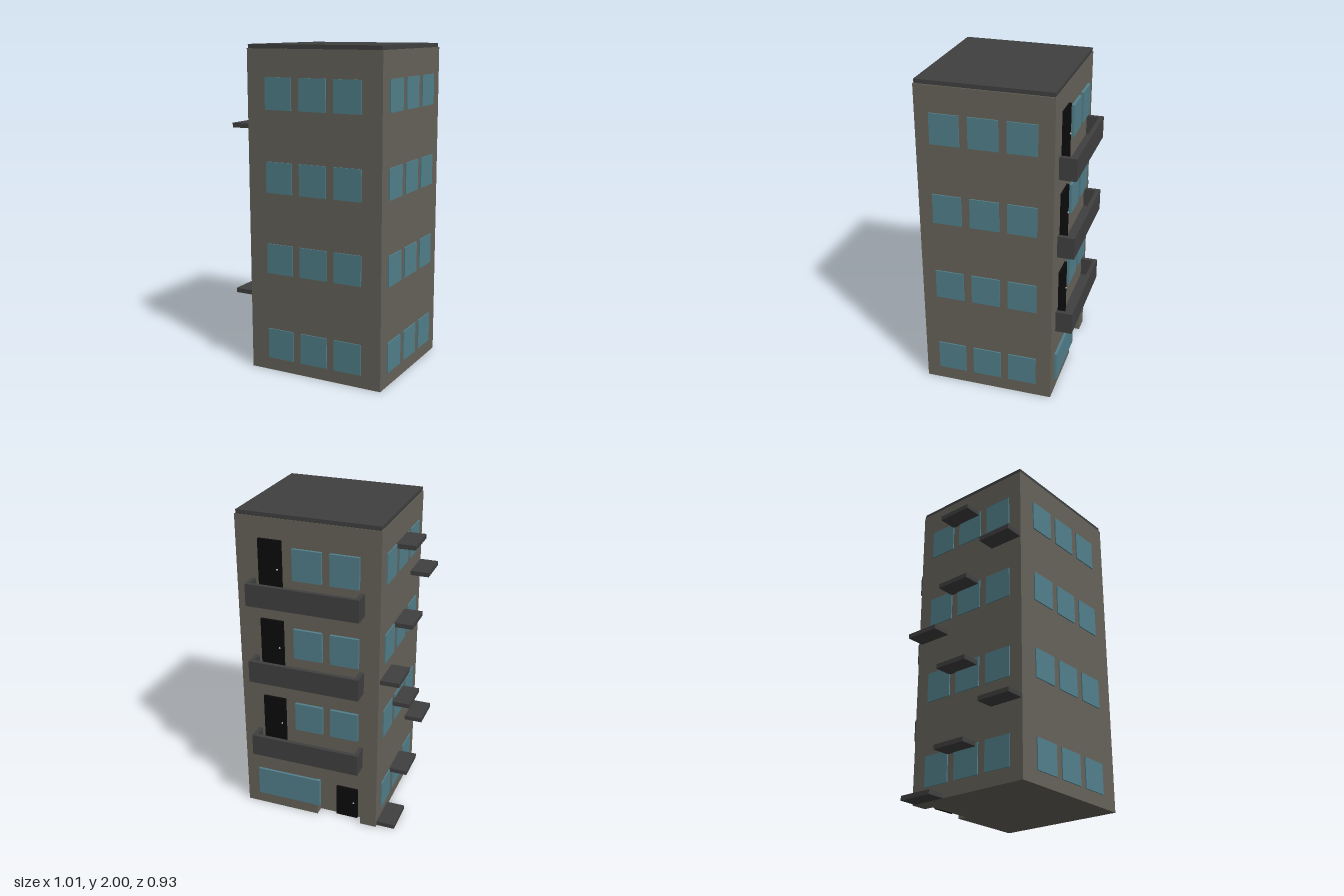
import * as THREE from 'three';

const paint = (color) => new THREE.MeshStandardMaterial({ color });
const WALL = paint(0x66635a), DARK = paint(0x404040), GLASS = paint(0x52808c);
const BLACK = paint(0x0c0c0c), METAL = paint(0xaaaaaa);

// Outer faces of the tower
const X0 = -0.39, X1 = 0.495, Z0 = -0.362, Z1 = 0.455, TOP = 1.975;
const NICHE = 0.06;

export function createModel() {
  const model = new THREE.Group();
  model.name = 'apartmentTower';

  const add = (parent, name, geometry, material) => {
    const mesh = new THREE.Mesh(geometry, material);
    mesh.name = name;
    parent.add(mesh);
    return mesh;
  };
  // Box given by its minimum and maximum on each axis
  const box = (parent, name, material, [xa, xb], [ya, yb], [za, zb]) => {
    const mesh = add(parent, name, new THREE.BoxGeometry(xb - xa, yb - ya, zb - za), material);
    mesh.position.set((xa + xb) / 2, (ya + yb) / 2, (za + zb) / 2);
    return mesh;
  };

  // Main block, and a back wall with an entrance cut out at ground level
  box(model, 'mainBlock', WALL, [X0, X1], [0, TOP], [Z0 + NICHE, Z1]);
  const outline = [[X0, 0], [-0.285, 0], [-0.285, 0.275], [0.007, 0.275],
    [0.007, 0], [X1, 0], [X1, TOP], [X0, TOP]];
  const elevation = new THREE.Shape(outline.map(([x, y]) => new THREE.Vector2(x, y)));
  const backWall = add(model, 'backWall',
    new THREE.ExtrudeGeometry(elevation, { depth: NICHE, bevelEnabled: false }), WALL);
  backWall.position.z = Z0;

  box(model, 'roof', DARK, [X0 + 0.005, X1 - 0.008], [TOP, 2], [Z0 + 0.003, Z1 - 0.004]);

  // Windows: three per floor on the front and both sides
  const columns = [[-0.267, -0.09], [-0.04, 0.139], [0.19, 0.368]];
  const frontRows = [[0.08, 0.27], [0.625, 0.81], [1.123, 1.313], [1.62, 1.812]];
  const sideRows = [[0.087, 0.275], [0.615, 0.802], [1.128, 1.315], [1.628, 1.815]];
  const windows = new THREE.Group();
  windows.name = 'windows';
  model.add(windows);
  for (let floor = 0; floor < 4; floor++) {
    for (const column of columns) {
      box(windows, 'frontWindow', GLASS, column, frontRows[floor], [Z1 - 0.01, Z1 + 0.007]);
      const z = column.map((v) => -v).reverse().map((v) => -v).sort((a, b) => a - b);
      box(windows, 'leftWindow', GLASS, [X1 - 0.01, X1 + 0.008], sideRows[floor], z);
      box(windows, 'rightWindow', GLASS, [X0 - 0.007, X0 + 0.01], sideRows[floor], z);
    }
  }
  // Back windows: two beside each balcony door, one wide shop window below
  for (let floor = 1; floor < 4; floor++) {
    for (const column of columns.slice(0, 2)) {
      box(windows, 'backWindow', GLASS, column, frontRows[floor], [Z0 - 0.018, Z0 + 0.01]);
    }
  }
  box(windows, 'wideWindow', GLASS, [-0.015, 0.41], [0.08, 0.27], [Z0 - 0.016, Z0 + 0.01]);

  // Door leaf with a small round knob; back is the wall plane it hangs on
  const door = (name, x, y, back) => {
    const group = new THREE.Group();
    group.name = name;
    model.add(group);
    box(group, 'doorLeaf', BLACK, x, y, [back - 0.016, back + 0.005]);
    const knob = add(group, 'doorKnob', new THREE.SphereGeometry(0.006, 12, 8), METAL);
    knob.position.set(x[0] + 0.025, y[0] + (y[1] - y[0]) * 0.53, back - 0.019);
  };
  door('entranceDoor', [-0.25, -0.107], [0, 0.215], Z0 + NICHE);

  // Balconies: floor slab with a solid parapet on three sides
  const bx = [-0.297, 0.4], zOut = -0.465, t = 0.026;
  for (const [base, doorTop] of [[0.438, 0.825], [0.96, 1.35], [1.46, 1.85]]) {
    const balcony = new THREE.Group();
    balcony.name = 'balcony';
    model.add(balcony);
    const top = base + 0.138, floorTop = base + 0.02;
    box(balcony, 'balconyFloor', DARK, [bx[0] + t, bx[1] - t], [base, floorTop], [zOut + t, Z0]);
    box(balcony, 'parapetFront', DARK, bx, [base, top], [zOut, zOut + t]);
    for (const x of [bx[0], bx[1] - t]) {
      box(balcony, 'parapetSide', DARK, [x, x + t], [base, top], [zOut + t, Z0]);
    }
    door('balconyDoor', [0.205, 0.35], [floorTop, doorTop], Z0);
  }

  // Climbing ledges zigzagging up the side wall
  const heights = [0, 0.253, 0.465, 0.752, 1.025, 1.292, 1.503, 1.788];
  const starts = [-0.34, -0.095, 0.23, -0.095];
  heights.forEach((y, i) => {
    const z = starts[i % 4];
    box(model, 'ledge', DARK, [-0.506, X0 + 0.005], [y, y + 0.028], [z, z + 0.221]);
  });

  return model;
}
